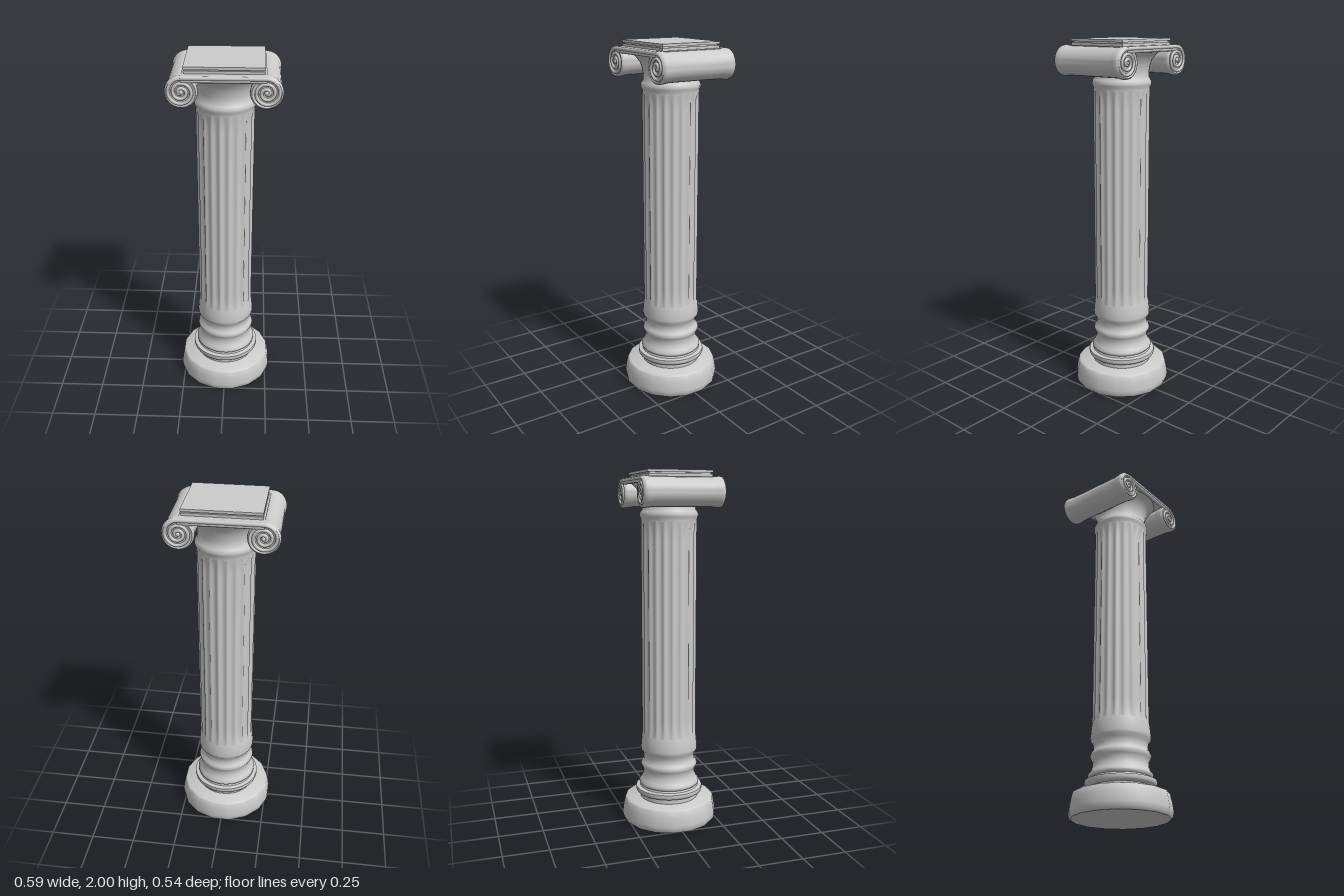
import * as THREE from 'three';
import { toCreasedNormals } from 'three/addons/utils/BufferGeometryUtils.js';

const material = new THREE.MeshStandardMaterial({ color: 0xcccccc });

function add(parent, name, geometry, x = 0, y = 0, z = 0) {
  const mesh = new THREE.Mesh(geometry, material);
  mesh.name = name;
  mesh.position.set(x, y, z);
  parent.add(mesh);
  return mesh;
}

// Turned part from [radius, height] pairs, with a flat side facing front
function turned(profile, sides, crease = 0.8) {
  const points = profile.map(([r, y]) => new THREE.Vector2(r, y));
  return toCreasedNormals(new THREE.LatheGeometry(points, sides, Math.PI / sides), crease);
}

// Shaft whose flutes fade out at both ends
function flutedShaft(bottom, top, radius, flutes, depth) {
  const geo = new THREE.CylinderGeometry(radius, radius, top - bottom, flutes * 6, 24, true);
  const pos = geo.attributes.position;
  const half = (top - bottom) / 2;
  for (let i = 0; i < pos.count; i++) {
    const x = pos.getX(i), y = pos.getY(i), z = pos.getZ(i);
    const fade = Math.min(1, (half - Math.abs(y)) / 0.05);
    const wave = Math.abs(Math.cos(Math.atan2(x, z) * flutes / 2));
    const scale = 1 - depth * wave * fade / radius;
    pos.setXYZ(i, x * scale, y, z * scale);
  }
  geo.computeVertexNormals();
  return geo.translate(0, (bottom + top) / 2, 0);
}

// Raised spiral that starts at the top and winds inward, toward side
function spiral(side) {
  const points = [];
  for (let i = 0; i <= 60; i++) {
    const t = i / 60;
    const a = Math.PI / 2 - t * Math.PI * 5;
    const r = 0.07 - 0.062 * t;
    points.push(new THREE.Vector3(side * r * Math.cos(a), r * Math.sin(a), 0));
  }
  return new THREE.TubeGeometry(new THREE.CatmullRomCurve3(points), 120, 0.009, 8);
}

export function createModel() {
  const column = new THREE.Group();
  column.name = 'column';

  // Sixteen-sided plinth
  add(column, 'plinth', turned([
    [0, 0], [0.262, 0], [0.272, 0.012], [0.275, 0.04], [0.268, 0.09],
    [0.259, 0.128], [0.25, 0.134], [0, 0.134],
  ], 16));

  // Base mouldings
  add(column, 'baseMouldings', turned([
    [0.168, 0.13], [0.168, 0.162], [0.19, 0.168], [0.194, 0.18], [0.193, 0.196],
    [0.17, 0.2], [0.166, 0.21], [0.174, 0.218], [0.174, 0.23], [0.162, 0.245],
    [0.152, 0.27], [0.15, 0.3], [0.158, 0.315], [0.165, 0.33], [0.16, 0.346],
    [0.15, 0.357], [0.147, 0.38], [0.152, 0.405], [0.163, 0.42], [0.165, 0.435],
    [0.162, 0.47], [0.159, 0.5], [0.156, 0.515],
  ], 32, 1.0));

  add(column, 'shaft', flutedShaft(0.51, 1.735, 0.156, 20, 0.011));

  // Collar and flaring bell under the scrolls
  add(column, 'capitalBell', turned([
    [0.156, 1.73], [0.156, 1.745], [0.163, 1.757], [0.164, 1.77], [0.158, 1.785],
    [0.149, 1.795], [0.149, 1.83], [0.154, 1.86], [0.166, 1.89], [0.185, 1.915],
    [0.21, 1.937], [0, 1.937],
  ], 32, 1.0));

  // Scrolled capital
  const capital = new THREE.Group();
  capital.name = 'scrollCapital';
  capital.position.z = 0.003;
  column.add(capital);
  add(capital, 'scrollBand', new THREE.BoxGeometry(0.42, 0.03, 0.43), 0, 1.951, 0);

  const roll = turned([
    [0, -0.216], [0.065, -0.216], [0.074, -0.222], [0.081, -0.217], [0.083, -0.205],
    [0.08, -0.18], [0.077, -0.16], [0.077, 0.16], [0.08, 0.18], [0.083, 0.205],
    [0.081, 0.217], [0.074, 0.222], [0.065, 0.216], [0, 0.216],
  ], 32).rotateX(Math.PI / 2);
  const edge = new THREE.CylinderGeometry(0.011, 0.011, 0.42, 10).rotateZ(Math.PI / 2);
  const eye = new THREE.SphereGeometry(0.013, 12, 8);

  for (const side of [-1, 1]) {
    add(capital, side > 0 ? 'leftScroll' : 'rightScroll', roll, side * 0.21, 1.885, 0);
    // Ends of this scroll, front and back
    for (const end of [-1, 1]) {
      add(capital, 'scrollSpiral', spiral(side), side * 0.21, 1.885, end * 0.217);
      add(capital, 'scrollEye', eye, side * 0.21, 1.885, end * 0.214);
    }
  }
  // Rounded beads along the front and back of the band
  for (const end of [-1, 1]) {
    add(capital, 'upperBead', edge, 0, 1.956, end * 0.215);
    add(capital, 'lowerBead', edge, 0, 1.943, end * 0.212);
  }

  // Stepped top slab
  const slab = new THREE.Group();
  slab.name = 'abacus';
  slab.position.z = 0.003;
  column.add(slab);
  add(slab, 'lowerStep', new THREE.BoxGeometry(0.4, 0.02, 0.355), 0, 1.97, 0);
  add(slab, 'recess', new THREE.BoxGeometry(0.385, 0.012, 0.34), 0, 1.982, 0);
  add(slab, 'topStep', new THREE.BoxGeometry(0.404, 0.014, 0.358), 0, 1.993, 0);

  return column;
}
